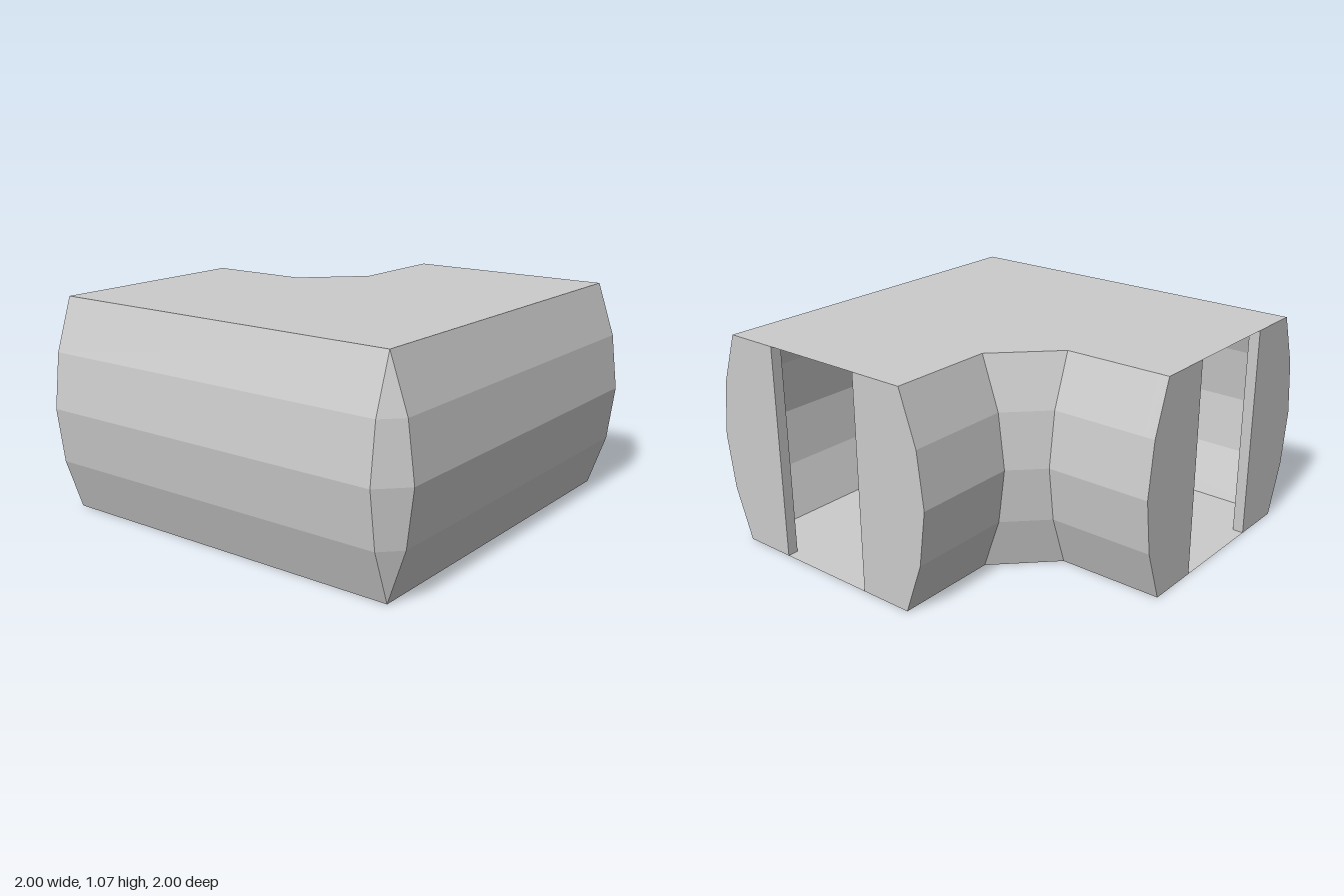
import * as THREE from 'three';

const HEIGHT = 1.07, OUT = 0.87, IN = -0.2, CUT = -0.47;
// Wall profile: [height, outward bulge]
const PROFILE = [[0, 0], [0.26, 0.09], [0.535, 0.125], [0.81, 0.09], [HEIGHT, 0]];

const material = new THREE.MeshStandardMaterial({
  color: 0xcccccc, flatShading: true, side: THREE.DoubleSide,
});

// Plan paths [x, z] of the walls for a given bulge
const outerPath = b => [[-1, OUT + b], [OUT, OUT + b], [OUT + b, OUT], [OUT + b, -1]];
const innerPath = b => [[IN - b, -1], [IN - b, CUT], [CUT, IN - b], [-1, IN - b]];

// Bulging wall lofted up the profile along a plan path
function wall(path) {
  const pos = [];
  for (let j = 0; j < PROFILE.length - 1; j++) {
    const [lo, hi] = [PROFILE[j], PROFILE[j + 1]].map(([y, b]) =>
      path(b).map(([x, z]) => new THREE.Vector3(x, y, z)));
    for (let i = 0; i < lo.length - 1; i++) {
      const [a, b, c, d] = [lo[i], lo[i + 1], hi[i + 1], hi[i]];
      for (const tri of [[a, b, c], [a, c, d]]) {
        if (new THREE.Triangle(...tri).getArea() < 1e-6) continue;
        tri.forEach(p => pos.push(p.x, p.y, p.z));
      }
    }
  }
  const g = new THREE.BufferGeometry();
  g.setAttribute('position', new THREE.Float32BufferAttribute(pos, 3));
  g.computeVertexNormals();
  return g;
}

// Flat L-shaped sheet; side = 1 faces up, -1 faces down
function sheet(y, side) {
  const plan = [...outerPath(0), ...innerPath(0)].map(([x, z]) => new THREE.Vector2(x, -side * z));
  return new THREE.ShapeGeometry(new THREE.Shape(plan)).rotateX(-side * Math.PI / 2).translate(0, y, 0);
}

// Door jamb slab: straight at the opening, bulging on the wall side
function jamb(outer) {
  const open = 0.263, thick = 0.055, mid = (OUT + IN) / 2, s = outer ? 1 : -1;
  const pts = PROFILE.map(([y, b]) => new THREE.Vector2(mid + s * ((OUT - IN) / 2 + b), y));
  pts.push(new THREE.Vector2(mid + s * open, HEIGHT), new THREE.Vector2(mid + s * open, 0));
  return new THREE.ExtrudeGeometry(new THREE.Shape(pts), { depth: thick, bevelEnabled: false })
    .translate(0, 0, -1);
}

export function createModel() {
  const group = new THREE.Group();
  const add = (name, geometry) => {
    const mesh = new THREE.Mesh(geometry, material);
    mesh.name = name;
    group.add(mesh);
  };

  add('floor', sheet(0, -1));
  add('roof', sheet(HEIGHT, 1));
  add('outerWall', wall(outerPath));
  add('innerWall', wall(innerPath));

  // Open doorways at the back and the side end
  for (const outer of [true, false]) {
    const side = outer ? 'Outer' : 'Inner';
    add('backDoor' + side + 'Jamb', jamb(outer));
    add('sideDoor' + side + 'Jamb',
      jamb(outer).translate(0, 0, 1.945).rotateY(-Math.PI / 2));
  }
  return group;
}
